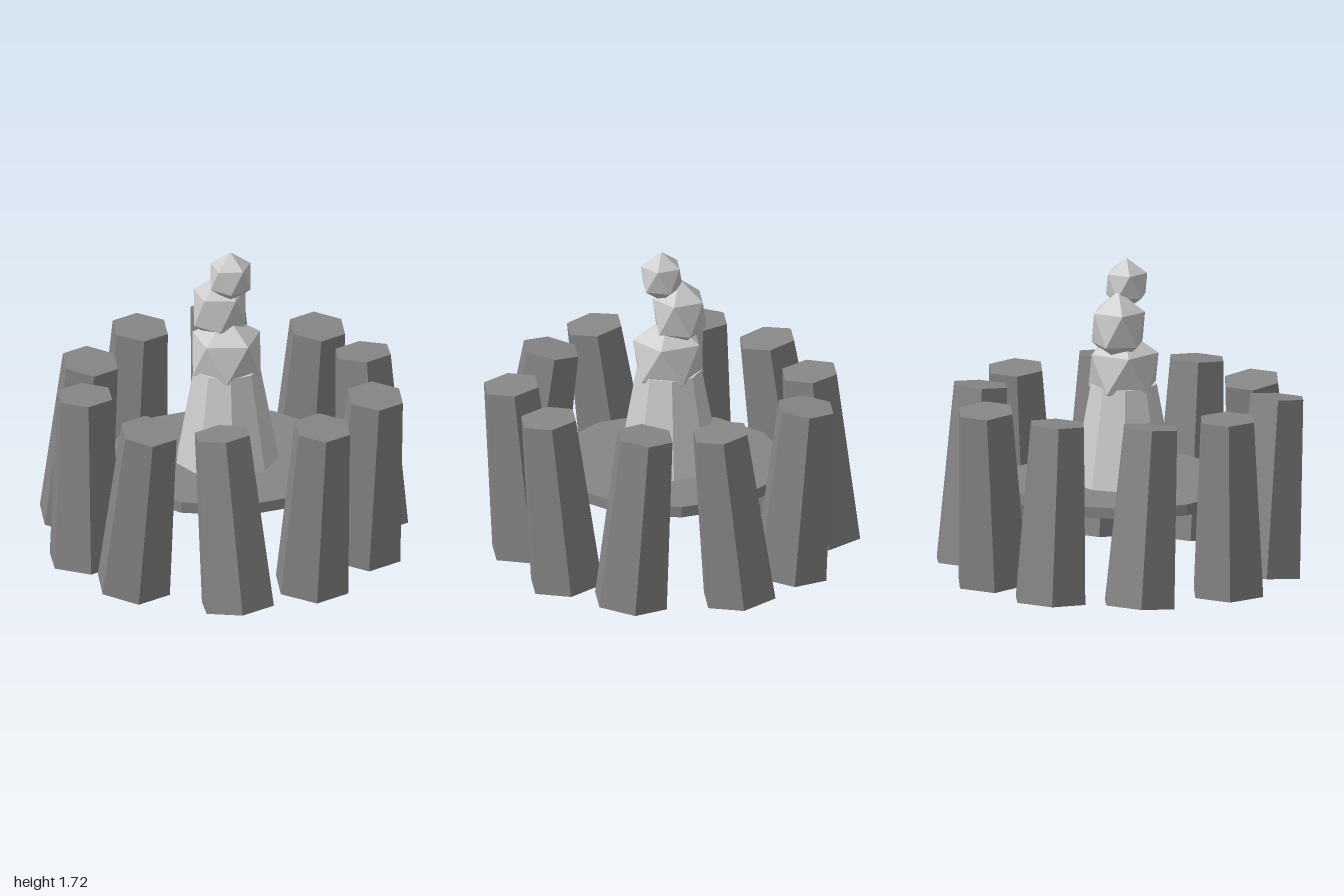
import * as THREE from 'three';

export function createModel() {
  const model = new THREE.Group();
  const darkStone = new THREE.MeshStandardMaterial({ color: 0x868686, flatShading: true });
  darkStone.name = 'dark stone';
  const paleStone = new THREE.MeshStandardMaterial({ color: 0xcccccc, flatShading: true });
  paleStone.name = 'pale stone';

  const centreX = 0.02;

  function add(name, geometry, material, x, y, z) {
    const mesh = new THREE.Mesh(geometry, material);
    mesh.name = name;
    mesh.position.set(x, y, z);
    model.add(mesh);
    return mesh;
  }

  // Ring of ten tapered hexagonal pillars, each leaning sideways by its own angle;
  // they run from +x round through +z
  const leans = [-0.095, 0.145, -0.14, 0.012, -0.133, -0.083, 0.088, -0.11, 0.08, -0.102];
  const pillarGeometry = new THREE.CylinderGeometry(0.16, 0.21, 0.96, 6);
  leans.forEach((lean, i) => {
    const a = (i / leans.length) * Math.PI * 2;
    const pillar = add('pillar' + (i + 1), pillarGeometry, darkStone,
      centreX + 0.8 * Math.cos(a), 0.503, 0.8 * Math.sin(a));
    pillar.rotation.z = lean;
  });

  // Twelve-sided floor slab held between the pillars
  add('floorSlab', new THREE.CylinderGeometry(0.633, 0.633, 0.06, 12), darkStone, centreX, 0.47, 0);

  // Nine-sided tapered body with a flat face to the front
  const body = new THREE.CylinderGeometry(0.18, 0.28, 0.535, 9);
  body.rotateY(Math.PI);
  add('statueBody', body, paleStone, centreX, 0.767, 0);

  // Stacked faceted stones, each standing on a corner
  const tilt = Math.atan2(1, (1 + Math.sqrt(5)) / 2);
  const stones = [
    ['lowerStone', 0.213, 0.225, centreX, 1.11],
    ['middleStone', 0.162, 0.198, -0.04, 1.358],
    ['topStone', 0.125, 0.142, 0.056, 1.575],
  ];
  for (const [name, radius, halfHeight, x, y] of stones) {
    const stone = new THREE.IcosahedronGeometry(1, 0);
    stone.rotateZ(-tilt);
    stone.scale(radius, halfHeight, radius);
    add(name, stone, paleStone, x, y, 0);
  }

  return model;
}
